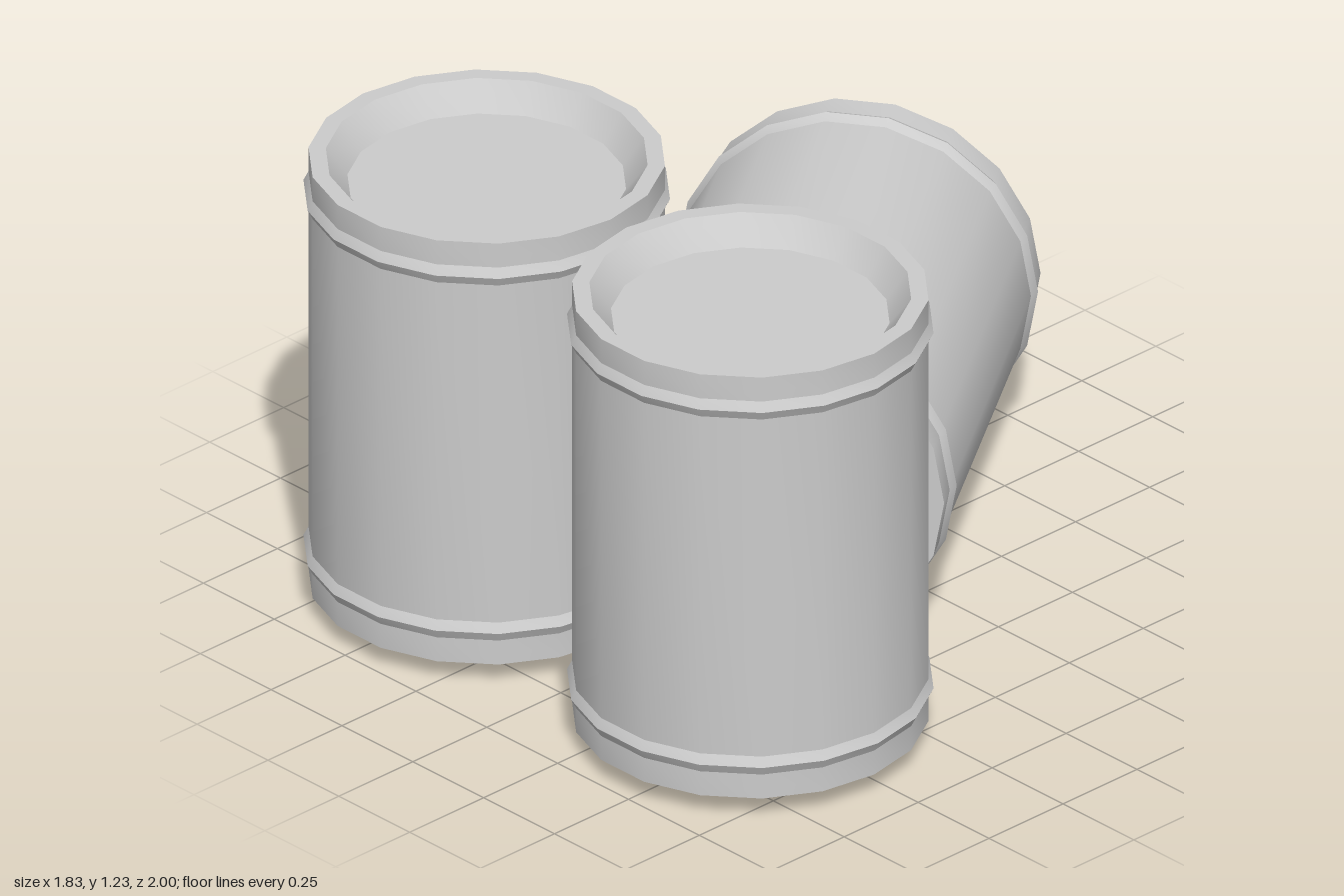
import * as THREE from 'three';
import { toCreasedNormals } from 'three/addons/utils/BufferGeometryUtils.js';

const SIDES = 18;
const HALF = 0.588;   // half the barrel height
const BODY = 0.4375;  // shell radius
const HOOP = 0.45;    // radius at the crest of a hoop

// Half profile from the centre of the recessed lid out to the upper hoop
const endProfile = [
  [0, HALF - 0.07],      // lid centre
  [0.342, HALF - 0.07],  // lid edge
  [0.395, HALF],         // inner lip
  [BODY, HALF],          // outer lip
  [BODY, HALF - 0.067],
  [HOOP, HALF - 0.092],  // hoop crest
  [BODY, HALF - 0.117],
];

function barrelGeometry() {
  const bottom = endProfile.map(([r, y]) => new THREE.Vector2(r, -y));
  const top = endProfile.map(([r, y]) => new THREE.Vector2(r, y)).reverse();
  const geometry = new THREE.LatheGeometry([...bottom, ...top], SIDES);
  geometry.rotateY(Math.PI / 2); // corners on the x axis, flats on the z axis
  return toCreasedNormals(geometry, 0.4);
}

export function createModel() {
  const group = new THREE.Group();
  group.name = 'barrelStack';
  const material = new THREE.MeshStandardMaterial({ color: 0xcccccc });
  const geometry = barrelGeometry();

  function addBarrel(name, x, y, z) {
    const barrel = new THREE.Mesh(geometry, material);
    barrel.name = name;
    barrel.position.set(x, y, z);
    group.add(barrel);
    return barrel;
  }

  // Two upright barrels at the front
  addBarrel('leftBarrel', 0.463, 0.647, 0.553);
  addBarrel('rightBarrel', -0.467, 0.647, 0.553);

  // One barrel lying on its side behind them
  const lying = addBarrel('lyingBarrel', -0.16, 0.444, -0.268);
  lying.rotation.set(Math.PI / 2, THREE.MathUtils.degToRad(34.7), 0, 'YXZ');

  return group;
}
